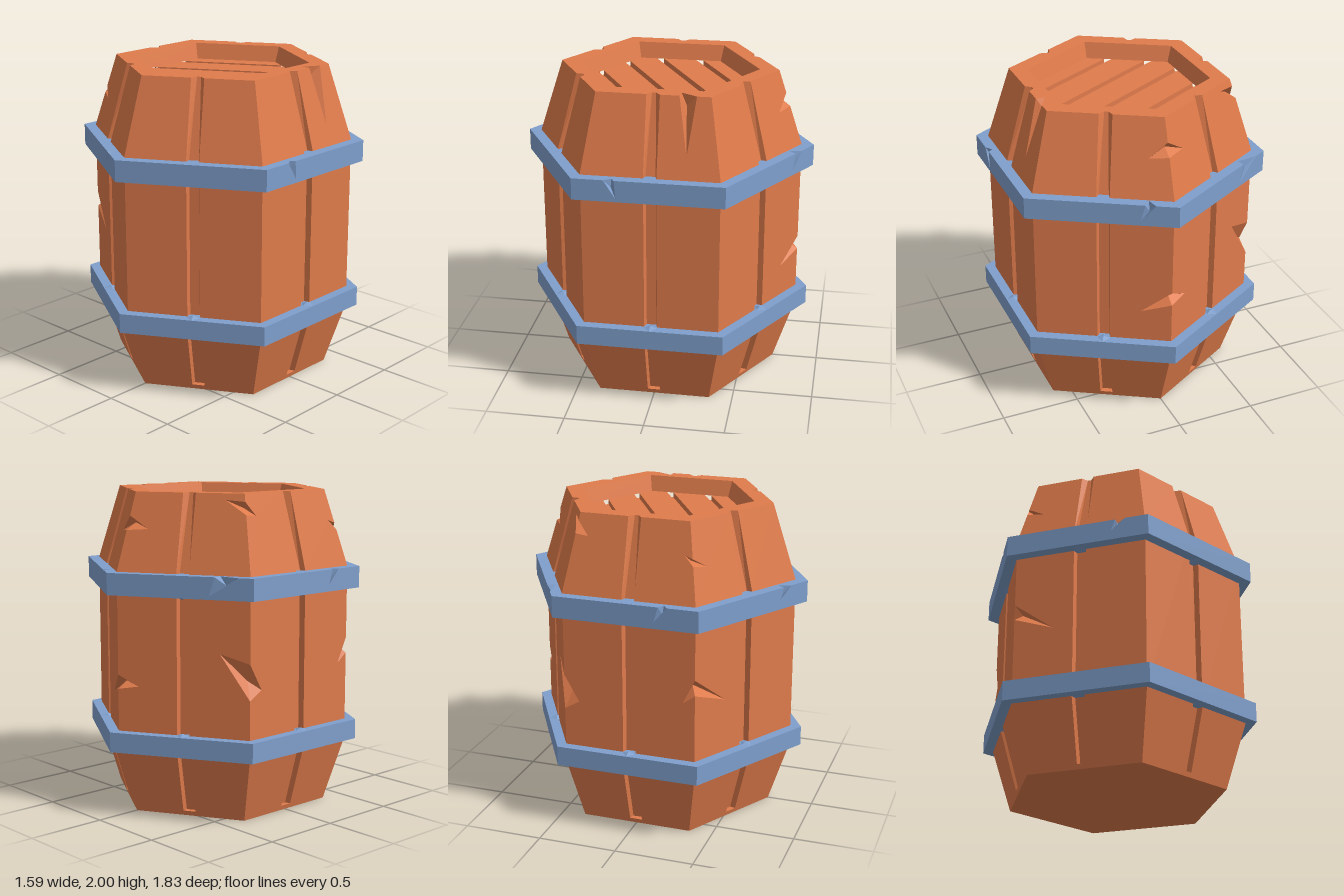
import * as THREE from 'three';

const WOOD = 0xdf7b4b, STEEL = 0x7f9fcc;
const V = (x, y, z) => new THREE.Vector3(x, y, z);
const C30 = Math.cos(Math.PI / 6);

// Corner j of a hexagon ring (corners point to +z and -z)
const corner = (j, r, y) => {
  const a = (j * 60 + 30) * Math.PI / 180;
  return V(r * Math.cos(a), y, r * Math.sin(a));
};
// Point on side f: distance from the axis, and offset to the right as seen from outside
const onSide = (f, apothem, right, y) => {
  const a = f * Math.PI / 3;
  return V(apothem * Math.cos(a) + right * Math.sin(a), y, apothem * Math.sin(a) - right * Math.cos(a));
};
// Quad corners: bottom left, bottom right, top right, top left
const at = (q, [u, v]) => q[0].clone().lerp(q[1], u).lerp(q[3].clone().lerp(q[2], u), v);

// Collects flat triangles for one part
class Surface {
  constructor() { this.points = []; }
  tri(a, b, c) { this.points.push(a, b, c); }
  // Four-sided panel; each side may list extra outline points (chips and notches)
  panel(q, { bottom = [], right = [], top = [], left = [] } = {}) {
    const uv = [[0, 0], ...bottom, [1, 0], ...right, [1, 1], ...top, [0, 1], ...left];
    const outline = uv.map(p => new THREE.Vector2(...p));
    for (const f of THREE.ShapeUtils.triangulateShape(outline, [])) {
      this.tri(...f.map(i => at(q, uv[i])));
    }
  }
  // Pit closing a chipped-out loop
  pit(loop, deep) {
    loop.forEach((p, i) => this.tri(p, loop[(i + 1) % loop.length], deep));
  }
  mesh(name, color) {
    const geo = new THREE.BufferGeometry().setFromPoints(this.points);
    geo.computeVertexNormals();
    const mesh = new THREE.Mesh(geo, new THREE.MeshStandardMaterial({ color, flatShading: true }));
    mesh.name = name;
    return mesh;
  }
}

// Body rows: height, corner radius
const ROWS = [[0, 0.705], [0.415, 0.84], [1.525, 0.84], [2, 0.685]];
const GROOVE = 0.04, DEPTH = 0.035, RIM = 0.565, FLOOR = 0.53, FLOOR_Y = 1.9;

// Chips on upright corners: corner, band, span along the corner, tip on right and left side
const EDGE_CHIPS = [
  { j: 2, band: 1, lo: 0.5, hi: 0.59, r: [0.66, 0.42], l: [0.2, 0.45] },
  { j: 2, band: 2, lo: 0.47, hi: 0.56, r: [0.33, 0.43], l: [0.15, 0.6] },
  { j: 4, band: 2, lo: 0.52, hi: 0.7, r: [0.4, 0.54], l: [0.36, 0.5] },
  { j: 4, band: 1, lo: 0.35, hi: 0.43, r: [0.35, 0.37], l: [0.5, 0.3] },
  { j: 3, band: 1, lo: 0.33, hi: 0.53, r: [0.25, 0.38], l: [0.5, 0.58] },
  { j: 3, band: 2, lo: 0.74, hi: 0.9, r: [0.25, 0.72], l: [0.4, 0.92] },
];

function halfPanel(f, band, right) {
  const [[y0, r0], [y1, r1]] = [ROWS[band], ROWS[band + 1]];
  const g = right ? GROOVE : -GROOVE;
  const g0 = onSide(f, r0 * C30, g, y0), g1 = onSide(f, r1 * C30, g, y1);
  return right ? [g0, corner(f - 1, r0, y0), corner(f - 1, r1, y1), g1]
    : [corner(f, r0, y0), g0, g1, corner(f, r1, y1)];
}

function buildBody() {
  const s = new Surface();
  const rimChip = { from: 0.38, to: 0.72, tip: [0.48, 0.28] };
  for (let f = 0; f < 6; f++) {
    // Staves, two per side
    for (let band = 0; band < 3; band++) {
      const cl = EDGE_CHIPS.find(c => c.j === f && c.band === band);
      const cr = EDGE_CHIPS.find(c => c.j === (f + 5) % 6 && c.band === band);
      const ql = halfPanel(f, band, false), qr = halfPanel(f, band, true);
      s.panel(ql, { left: cl ? [[0, cl.hi], cl.r, [0, cl.lo]] : [] });
      const sides = { right: cr ? [[1, cr.lo], [1 - cr.l[0], cr.l[1]], [1, cr.hi]] : [] };
      if (f === 0 && band === 2) sides.top = [[rimChip.to, 1], rimChip.tip, [rimChip.from, 1]];
      s.panel(qr, sides);
      if (cl) {
        const qn = halfPanel(f + 1, band, true);
        const hi = at(ql, [0, cl.hi]), lo = at(ql, [0, cl.lo]);
        const deep = hi.clone().lerp(lo, 0.5).multiply(V(0.92, 1, 0.92));
        s.pit([hi, at(qn, [1 - cl.l[0], cl.l[1]]), lo, at(ql, cl.r)], deep);
      }
    }
    // Groove down the middle of the side, closed near the ground
    const rows = [[0.03, 0.715, 0.03], [0.415, 0.84, 0.03], [1.525, 0.84, 0.03], [2, 0.685, 0.012]]
      .map(([y, r, w]) => [[-GROOVE, 0], [-w, DEPTH], [w, DEPTH], [GROOVE, 0]]
        .map(([x, d]) => onSide(f, r * C30 - d, x, y)));
    for (let i = 0; i < 3; i++) {
      for (let k = 0; k < 3; k++) s.panel([rows[i][k], rows[i][k + 1], rows[i + 1][k + 1], rows[i + 1][k]]);
    }
    const foot = x => onSide(f, 0.705 * C30, x, 0);
    s.panel([foot(-GROOVE), foot(GROOVE), rows[0][3], rows[0][0]]);
    s.panel([rows[0][0], rows[0][3], rows[0][2], rows[0][1]]);

    // Rim with groove mouth, and the wall of the recess
    const rim = [corner(f, 0.685, 2), corner(f - 1, 0.685, 2), corner(f - 1, RIM, 2), corner(f, RIM, 2)];
    const e = GROOVE / 0.685, n = 0.012 / 0.66, v = DEPTH / ((0.685 - RIM) * C30);
    const bottom = [[0.5 - e, 0], [0.5 - n, v], [0.5 + n, v], [0.5 + e, 0]];
    if (f === 0) {
      const q = halfPanel(0, 2, true);
      const a = at(q, [rimChip.from, 1]), b = at(q, [rimChip.to, 1]);
      const u = t => 0.5 + e + (0.5 - e) * t;
      const tip = [u(0.45), 0.55];
      bottom.push([u(rimChip.from), 0], tip, [u(rimChip.to), 0]);
      const deep = a.clone().lerp(b, 0.5).multiply(V(0.93, 1, 0.93)).add(V(0, -0.07, 0));
      s.pit([a, at(q, rimChip.tip), b, at(rim, tip)], deep);
    }
    s.panel(rim, { bottom });
    s.panel([rim[3], rim[2], corner(f - 1, FLOOR, FLOOR_Y), corner(f, FLOOR, FLOOR_Y)]);
    // Underside
    s.tri(corner(f, 0.705, 0), V(0, 0, 0), corner(f - 1, 0.705, 0));
  }
  return s.mesh('staves', WOOD);
}

// Lid of five planks with gaps, cut to the hexagon
function buildLid() {
  const lid = new THREE.Group();
  lid.name = 'lid';
  const mat = new THREE.MeshStandardMaterial({ color: WOOD, flatShading: true });
  const base = new THREE.Mesh(new THREE.CircleGeometry(FLOOR + 0.02, 6, Math.PI / 6), mat);
  base.name = 'lidBase';
  base.rotation.x = -Math.PI / 2;
  base.position.y = FLOOR_Y - 0.035;
  lid.add(base);
  const gap = 0.02, half = d => FLOOR - Math.abs(d) / Math.sqrt(3);
  const cuts = [-FLOOR * C30 - gap, -0.34, -0.113, 0.113, 0.34, FLOOR * C30 + gap];
  for (let i = 0; i < 5; i++) {
    const a = cuts[i] + gap, b = cuts[i + 1] - gap;
    const ds = i === 2 ? [a, 0, b] : [a, b];
    const outline = [...ds.map(d => [half(d), d]), ...ds.reverse().map(d => [-half(d), d])];
    const shape = new THREE.Shape(outline.map(p => new THREE.Vector2(...p)));
    const geo = new THREE.ExtrudeGeometry(shape, { depth: 0.035, bevelEnabled: false });
    geo.rotateX(-Math.PI / 2).rotateY(Math.PI / 6);
    const plank = new THREE.Mesh(geo, mat);
    plank.name = 'lidPlank';
    plank.position.y = FLOOR_Y - 0.035;
    lid.add(plank);
  }
  return lid;
}

// Hexagonal hoop; chips bite into its upper outer edge
function buildHoop(name, y0, y1, r, chips, bumpUp) {
  const s = new Surface(), inner = 0.8;
  for (let f = 0; f < 6; f++) {
    const ring = (rad, y) => [corner(f, rad, y), corner(f - 1, rad, y)];
    const [a, b] = ring(r, y0), [d, c] = ring(r, y1), [id, ic] = ring(inner, y1), [ia, ib] = ring(inner, y0);
    const outer = [a, b, c, d], upper = [d, c, ic, id], chip = chips[f];
    if (chip) {
      const [from, to, tip, inTip] = chip;
      s.panel(outer, { top: [[to, 1], tip, [from, 1]] });
      s.panel(upper, { bottom: [[from, 0], inTip, [to, 0]] });
      const p = at(outer, [from, 1]), q = at(outer, [to, 1]);
      const deep = p.clone().lerp(q, 0.5).multiply(V(0.965, 1, 0.965)).add(V(0, -0.05, 0));
      s.pit([p, at(outer, tip), q, at(upper, inTip)], deep);
    } else {
      s.panel(outer);
      s.panel(upper);
    }
    s.panel([ia, ib, b, a]);
    // Small wedge over each groove
    const y = bumpUp ? y1 : y0, peak = onSide(f, 0.74, 0, y + (bumpUp ? 0.015 : -0.015));
    const foot = [[0.785, 0], [0.74, 0.04], [0.7, 0], [0.74, -0.04]].map(([ap, x]) => onSide(f, ap, x, y));
    s.pit(bumpUp ? foot : foot.reverse(), peak);
  }
  return s.mesh(name, STEEL);
}

export function createModel() {
  const barrel = new THREE.Group();
  barrel.name = 'barrel';
  barrel.add(buildBody(), buildLid());
  barrel.add(buildHoop('lowerHoop', 0.415, 0.54, 0.91, {}, true));
  // Per side: chip start, chip end, tip on the outer face, tip on the top
  barrel.add(buildHoop('upperHoop', 1.39, 1.525, 0.917, {
    0: [0.21, 0.28, [0.29, 0.15], [0.25, 0.3]],
    2: [0.77, 0.84, [0.74, 0.45], [0.79, 0.5]],
    3: [0.73, 0.79, [0.7, 0.3], [0.77, 0.4]],
    4: [0.74, 0.9, [0.7, 0.15], [0.78, 0.5]],
    5: [0.78, 0.85, [0.75, 0.2], [0.82, 0.6]],
  }, false));
  return barrel;
}
